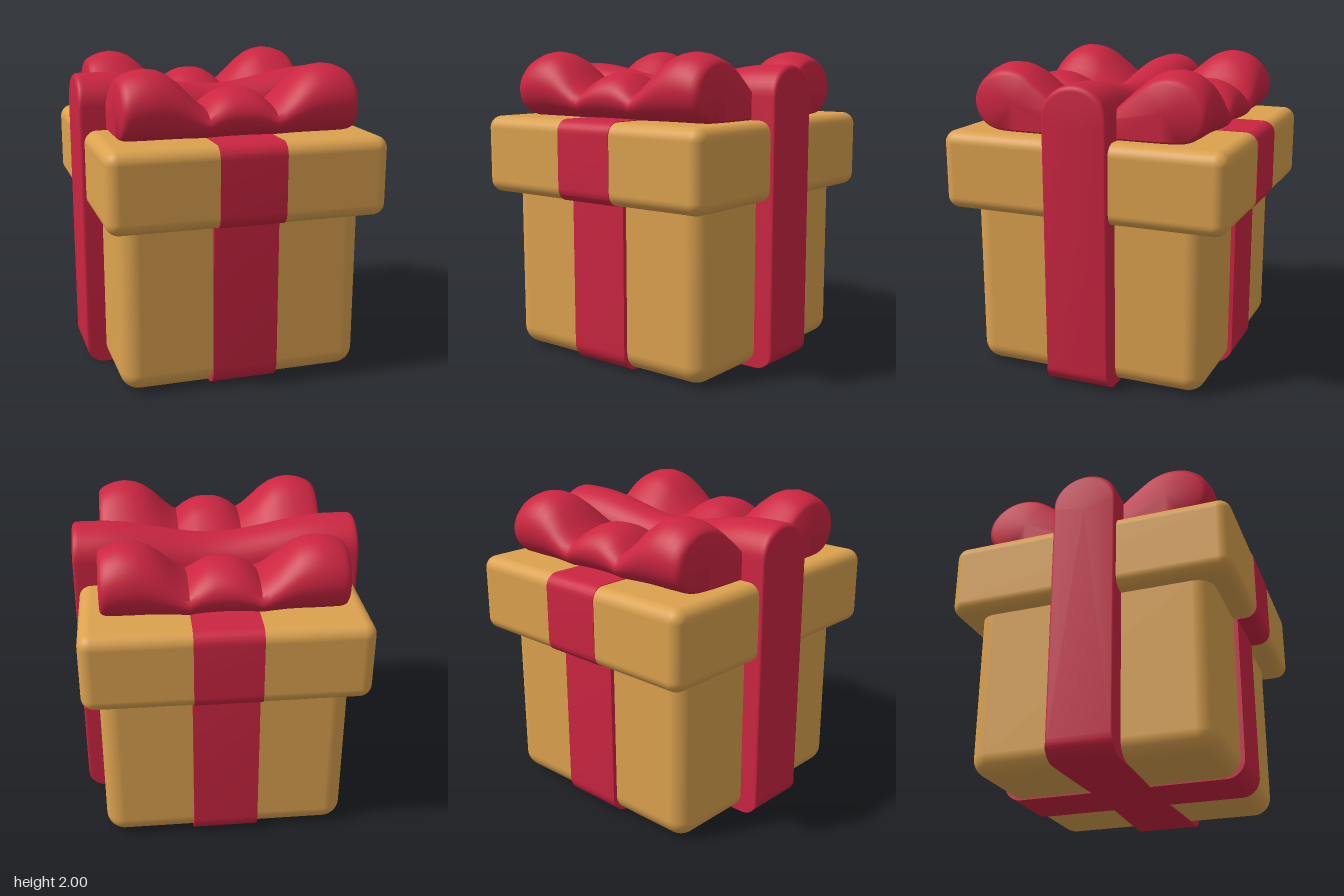
import * as THREE from 'three';
import { toCreasedNormals } from 'three/addons/utils/BufferGeometryUtils.js';
import { RoundedBoxGeometry } from 'three/addons/geometries/RoundedBoxGeometry.js';

const gold = new THREE.MeshStandardMaterial({ color: 0xdca24f });
gold.name = 'gold card';
const red = new THREE.MeshStandardMaterial({ color: 0xcb2541 });
red.name = 'red ribbon';

// Skin a row of cross-sections (equal-length loops of [x, y, z]) and cap both ends.
function loft(sections, crease) {
  const n = sections[0].length, pos = [], index = [];
  sections.forEach(s => s.forEach(p => pos.push(...p)));
  for (let i = 0; i < sections.length - 1; i++) {
    for (let j = 0; j < n; j++) {
      const k = (j + 1) % n, a = i * n + j, b = i * n + k;
      index.push(a, b, a + n, b, b + n, a + n);
    }
  }
  for (const i of [0, sections.length - 1]) {
    const centre = [0, 1, 2].map(c => sections[i].reduce((t, p) => t + p[c], 0) / n);
    const c = pos.length / 3;
    pos.push(...centre);
    for (let j = 0; j < n; j++) {
      const a = i * n + j, b = i * n + (j + 1) % n;
      if (i === 0) index.push(c, b, a); else index.push(c, a, b);
    }
  }
  const g = new THREE.BufferGeometry();
  g.setAttribute('position', new THREE.Float32BufferAttribute(pos, 3));
  g.setIndex(index);
  return toCreasedNormals(g, crease);
}

// Linear lookup in a short [x, value] table, mirrored about x = 0.
function lookup(table, x) {
  const ax = Math.abs(x);
  for (let i = 1; i < table.length; i++) {
    const [x0, v0] = table[i - 1], [x1, v1] = table[i];
    if (ax <= x1) return v0 + (v1 - v0) * (ax - x0) / (x1 - x0);
  }
  return table[table.length - 1][1];
}

const mirrored = xs => [...xs.slice(1).reverse().map(x => -x), ...xs];

// Strip wrapped front to back: a rounded rectangle in y/z, extruded along x.
function wrapBand(halfZ, y0, y1, r, width) {
  const s = new THREE.Shape();
  s.moveTo(-halfZ + r, y0);
  s.lineTo(halfZ - r, y0);
  s.absarc(halfZ - r, y0 + r, r, -Math.PI / 2, 0);
  s.lineTo(halfZ, y1 - r);
  s.absarc(halfZ - r, y1 - r, r, 0, Math.PI / 2);
  s.lineTo(-halfZ + r, y1);
  s.absarc(-halfZ + r, y1 - r, r, Math.PI / 2, Math.PI);
  s.lineTo(-halfZ, y0 + r);
  s.absarc(-halfZ + r, y0 + r, r, Math.PI, Math.PI * 1.5);
  const g = new THREE.ExtrudeGeometry(s, { depth: width, bevelEnabled: false, curveSegments: 8 });
  g.translate(0, 0, -width / 2);
  g.rotateY(Math.PI / 2);
  return toCreasedNormals(g, 0.6);
}

// Tall ribbon crossing the box side to side, sagging in the middle.
function sideRibbon() {
  const endX = 0.915, r = 0.12, xs = [];
  for (let i = 0; i <= 10; i++) xs.push((endX - r) * i / 10);
  for (let i = 1; i <= 9; i++) xs.push(endX - r + r * Math.sin(i / 9 * Math.PI / 2));
  const round = (x, rad) => {
    const d = Math.max(0, Math.abs(x) - (endX - rad));
    return rad - Math.sqrt(Math.max(0, rad * rad - d * d));
  };
  const sections = mirrored(xs).map(x => {
    const t = THREE.MathUtils.smoothstep(Math.abs(x), 0, 0.75);
    const top = 1.82 + 0.1 * t - round(x, 0.035);
    const w = 0.19 + 0.02 * t - round(x, 0.015);
    const bottom = round(x, r);
    const loop = [];
    for (let i = 0; i <= 20; i++) {
      const a = (i / 20 - 0.5) * Math.PI;
      loop.push([x, top - 0.19 + 0.19 * Math.cos(a), w * Math.sin(a)]);
    }
    loop.push([x, bottom, w], [x, bottom, -w]);
    return loop;
  });
  return loft(sections, 0.7);
}

// One bow half: a teardrop in z/y swept along x, swelling into three lobes.
function bowHalf() {
  const profile = new THREE.SplineCurve([
    [0.1, 1.7], [0.2, 1.79], [0.3, 1.88], [0.42, 1.97], [0.55, 2.0], [0.67, 1.965],
    [0.755, 1.88], [0.785, 1.77], [0.75, 1.66], [0.66, 1.59], [0.5, 1.572], [0.1, 1.572],
  ].map(p => new THREE.Vector2(...p))).getPoints(44);
  const lobeTop = [[0, 1.872], [0.06, 1.868], [0.11, 1.85], [0.16, 1.82], [0.215, 1.77], [0.26, 1.80],
    [0.32, 1.86], [0.38, 1.92], [0.44, 1.965], [0.5, 1.99], [0.57, 2.0], [0.64, 1.99], [0.745, 1.95]];
  const reach = [[0, 0.97], [0.21, 0.975], [0.57, 1], [0.745, 0.985]];
  const endScale = [[0, 1], [0.69, 1], [0.715, 0.985], [0.735, 0.95], [0.745, 0.89]];
  const xs = [0, 0.06, 0.11, 0.16, 0.215, 0.26, 0.32, 0.38, 0.44, 0.5, 0.57, 0.64, 0.69, 0.715, 0.735, 0.745];
  const sections = mirrored(xs).map(x => {
    const sy = (lookup(lobeTop, x) - 1.572) / 0.428, sz = lookup(reach, x), e = lookup(endScale, x);
    const cy = 1.572 + 0.2 * sy, cz = 0.45;
    return profile.map(p => [
      x,
      cy + (1.572 + (p.y - 1.572) * sy - cy) * e,
      cz + (p.x * sz - cz) * e,
    ]);
  });
  return loft(sections, 0.75);
}

export function createModel() {
  const model = new THREE.Group();
  model.name = 'giftBox';
  const add = (name, geometry, material, y = 0) => {
    const mesh = new THREE.Mesh(geometry, material);
    mesh.name = name;
    mesh.position.y = y;
    model.add(mesh);
    return mesh;
  };

  // Box and lid
  add('boxBody', new RoundedBoxGeometry(1.57, 1.2, 1.56, 6, 0.12), gold, 0.608);
  add('lid', new RoundedBoxGeometry(1.77, 0.505, 1.87, 6, 0.08), gold, 1.3275);

  // Front-to-back ribbon on the box and on the lid
  add('bodyRibbon', wrapBand(0.808, 0, 1.2, 0.12, 0.42), red);
  add('lidRibbon', wrapBand(0.939, 1.071, 1.584, 0.082, 0.42), red);

  // Side-to-side ribbon
  add('sideRibbon', sideRibbon(), red);

  // Bow halves in front of and behind the side ribbon
  const bow = bowHalf();
  add('frontBow', bow, red);
  add('backBow', bow, red).rotation.y = Math.PI;

  return model;
}
